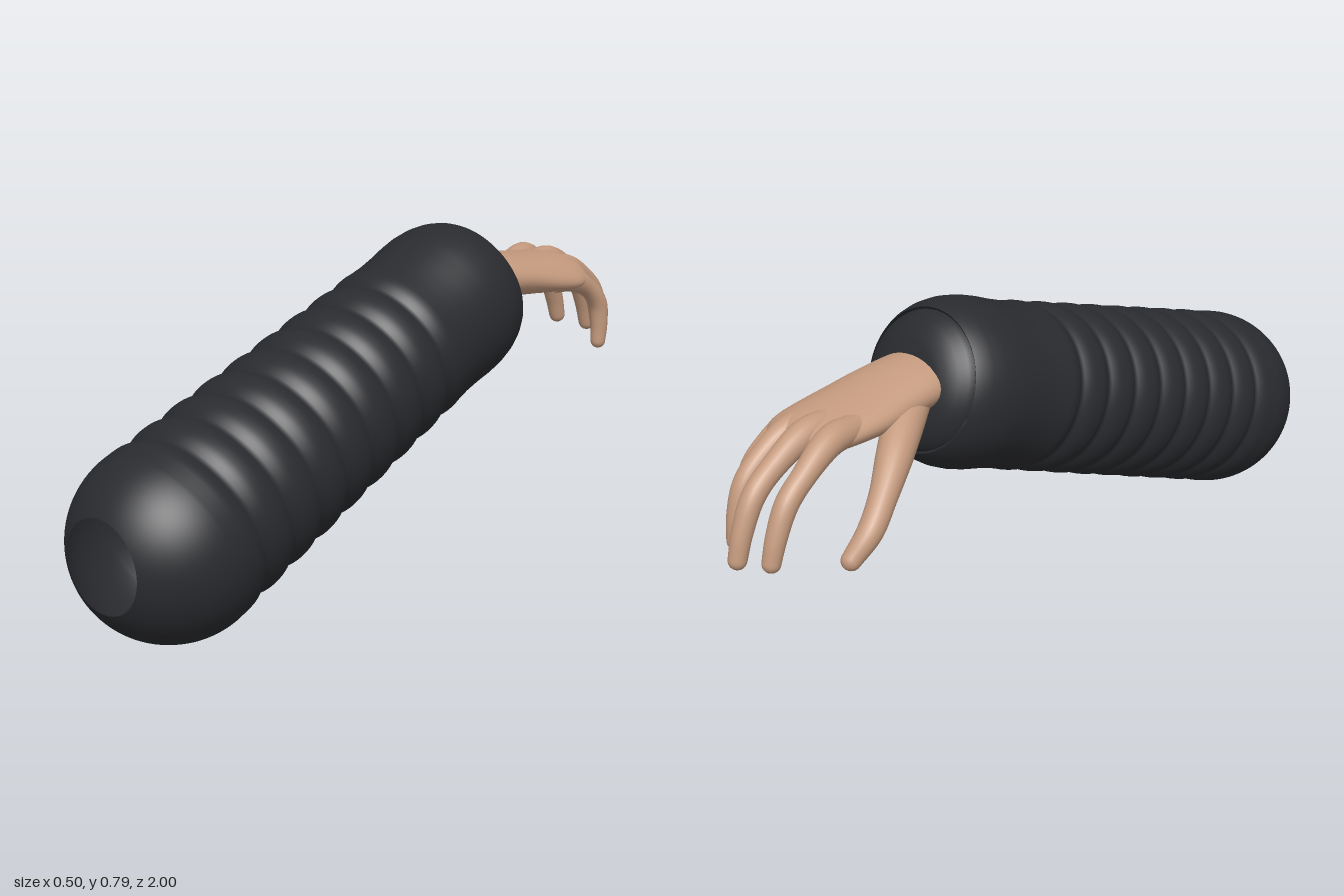
import * as THREE from 'three';

const V = (x, y, z) => new THREE.Vector3(x, y, z);
const sleeveMat = new THREE.MeshStandardMaterial({ color: 0x2a2b2f, side: THREE.DoubleSide });
const skinMat = new THREE.MeshStandardMaterial({ color: 0xc49a7e });

// Skin a list of elliptical rings { c: centre, t: direction, rx, ry }.
// clip(v) may move a vertex onto a cut edge; faces wholly cut away are left out.
function loft(rings, n, clip = () => false) {
  const pos = [], cut = [], index = [];
  for (const { c, t, rx, ry } of rings) {
    const v = t.clone().cross(V(1, 0, 0)).normalize();
    const u = v.clone().cross(t).normalize();
    for (let j = 0; j < n; j++) {
      const a = (j / n) * Math.PI * 2;
      const p = c.clone().addScaledVector(u, rx * Math.cos(a)).addScaledVector(v, ry * Math.sin(a));
      cut.push(clip(p));
      pos.push(p.x, p.y, p.z);
    }
  }
  const face = (a, b, c) => { if (!(cut[a] && cut[b] && cut[c])) index.push(a, b, c); };
  for (let i = 0; i < rings.length - 1; i++) {
    for (let j = 0; j < n; j++) {
      const a = i * n + j, b = i * n + (j + 1) % n;
      face(a, b, a + n);
      face(b, b + n, a + n);
    }
  }
  const g = new THREE.BufferGeometry();
  g.setAttribute('position', new THREE.Float32BufferAttribute(pos, 3));
  g.setIndex(index);
  g.computeVertexNormals();
  return g;
}

function part(name, geometry, material) {
  const mesh = new THREE.Mesh(geometry, material);
  mesh.name = name;
  return mesh;
}

// Sleeve axis, rising from the rounded elbow end to the cuff
const start = V(0, 0.218, 0.782);
const axis = V(0, 0.329, -0.944).normalize();
const R = 0.248, HOLE = 0.118;
const ringAt = ([t, r]) => ({ c: start.clone().addScaledVector(axis, t), t: axis, rx: r, ry: r });

// Round openings at the front (z = 1) and underneath (y = 0)
function cutHoles(p) {
  for (const [k, m, over, level] of [['y', 'z', p.y < 0, 0], ['z', 'y', p.z > 1, 1]]) {
    if (!over) continue;
    const dm = p[m] - start[m];
    const s = HOLE / Math.max(Math.hypot(p.x, dm), 1e-5);
    p.x *= s;
    p[m] = start[m] + dm * s;
    p[k] = level;
    return true;
  }
  return false;
}

function sleeveProfile() {
  const profile = [];
  // domed end
  for (let i = 0; i < 40; i++) {
    const a = (i / 40) * Math.PI / 2;
    profile.push([-R * Math.cos(a), Math.max(R * Math.sin(a), 0.001)]);
  }
  // eight scalloped grooves
  const first = 0.08, pitch = 0.107, begin = first - pitch / 2;
  for (let i = 0; i <= 8 * 14; i++) {
    const t = begin + (i / 14) * pitch;
    const bulge = Math.abs(Math.sin(Math.PI * (t - first) / pitch));
    profile.push([t, R - 0.032 * t - 0.016 * (1 - bulge) ** 1.3]);
  }
  // plain cuff
  profile.push([0.91, 0.217], [0.95, 0.215], [1.0, 0.216], [1.05, 0.219], [1.09, 0.219],
    [1.13, 0.214], [1.165, 0.204], [1.19, 0.192], [1.205, 0.181]);
  return profile;
}

// Tapered tube with a round tip; points are [x, y, z, radius]
function digit(points) {
  const path = new THREE.CatmullRomCurve3(points.map(p => V(p[0], p[1], p[2])));
  const radius = new THREE.CatmullRomCurve3(points.map((p, i) => V(p[3], i, 0)));
  const rings = [];
  for (let i = 0; i <= 28; i++) {
    const r = radius.getPoint(i / 28).x;
    rings.push({ c: path.getPoint(i / 28), t: path.getTangent(i / 28), rx: r, ry: r });
  }
  const end = rings[28];
  for (let i = 1; i <= 6; i++) {
    const a = (i / 6) * Math.PI / 2;
    const r = Math.max(end.rx * Math.cos(a), 0.0005);
    rings.push({ c: end.c.clone().addScaledVector(end.t, end.rx * Math.sin(a)), t: end.t, rx: r, ry: r });
  }
  return loft(rings, 20);
}

// Wrist and palm; sections are [z, centre x, centre y, half width, half height]
function palm() {
  const s = [
    [-0.33, 0, 0.627, 0.105, 0.062], [-0.40, 0, 0.624, 0.112, 0.064], [-0.48, 0.004, 0.614, 0.118, 0.062],
    [-0.56, 0.008, 0.603, 0.127, 0.058], [-0.64, 0.014, 0.597, 0.132, 0.052],
    [-0.70, 0.016, 0.594, 0.130, 0.045], [-0.74, 0.012, 0.592, 0.116, 0.036],
    [-0.765, 0.008, 0.588, 0.085, 0.022], [-0.772, 0.005, 0.586, 0.002, 0.002],
  ];
  const a = new THREE.CatmullRomCurve3(s.map(p => V(p[1], p[2], p[0])));
  const b = new THREE.CatmullRomCurve3(s.map(p => V(p[3], p[4], p[0])));
  const rings = [];
  for (let i = 0; i <= 48; i++) {
    const size = b.getPoint(i / 48);
    rings.push({ c: a.getPoint(i / 48), t: V(0, 0, -1), rx: Math.max(size.x, 0.001), ry: Math.max(size.y, 0.001) });
  }
  const g = loft(rings, 40);
  // square the ellipse, drop the little-finger side and hollow the palm
  const p = g.attributes.position;
  for (let i = 0; i < p.count; i++) {
    const x = p.getX(i), y = p.getY(i);
    const k = THREE.MathUtils.smoothstep(-p.getZ(i), 0.45, 0.72);
    const hollow = y < 0.58 ? 0.016 * k * Math.max(0, 1 - (x / 0.1) ** 2) : 0;
    p.setY(i, y + hollow - k * 1.6 * Math.max(0, x - 0.02) ** 2);
  }
  g.computeVertexNormals();
  return g;
}

export function createModel() {
  const model = new THREE.Group();

  const sleeve = new THREE.Group();
  sleeve.name = 'sleeve';
  sleeve.add(part('ribbedSleeve', loft(sleeveProfile().map(ringAt), 128, cutHoles), sleeveMat));
  const cap = [[1.2, 0.176], [1.215, 0.168], [1.232, 0.148], [1.246, 0.12], [1.254, 0.09], [1.256, 0.05]];
  sleeve.add(part('cuffEnd', loft(cap.map(ringAt), 64), sleeveMat));

  const hand = new THREE.Group();
  hand.name = 'hand';
  hand.add(part('palm', palm(), skinMat));
  // each digit runs from inside the palm to its tip
  const digits = {
    indexFinger: [[-0.07, 0.6, -0.64, 0.036], [-0.09, 0.603, -0.735, 0.037], [-0.108, 0.555, -0.83, 0.03],
      [-0.113, 0.505, -0.89, 0.029], [-0.115, 0.43, -0.928, 0.026], [-0.115, 0.375, -0.945, 0.023]],
    middleFinger: [[-0.012, 0.602, -0.64, 0.036], [-0.016, 0.603, -0.745, 0.037], [-0.022, 0.555, -0.85, 0.03],
      [-0.026, 0.505, -0.915, 0.029], [-0.027, 0.425, -0.955, 0.026], [-0.027, 0.362, -0.973, 0.023]],
    ringFinger: [[0.045, 0.594, -0.64, 0.034], [0.05, 0.592, -0.735, 0.036], [0.056, 0.548, -0.82, 0.029],
      [0.06, 0.495, -0.872, 0.028], [0.06, 0.42, -0.9, 0.025], [0.06, 0.358, -0.908, 0.022]],
    littleFinger: [[0.098, 0.578, -0.61, 0.03], [0.108, 0.572, -0.69, 0.034], [0.119, 0.538, -0.755, 0.027],
      [0.127, 0.487, -0.798, 0.027], [0.13, 0.42, -0.806, 0.024], [0.13, 0.372, -0.803, 0.021]],
    thumb: [[-0.05, 0.6, -0.43, 0.045], [-0.09, 0.575, -0.5, 0.05], [-0.145, 0.53, -0.585, 0.045],
      [-0.19, 0.47, -0.665, 0.035], [-0.213, 0.41, -0.73, 0.032], [-0.207, 0.355, -0.785, 0.025]],
  };
  for (const [name, points] of Object.entries(digits)) hand.add(part(name, digit(points), skinMat));

  model.add(sleeve, hand);
  return model;
}
